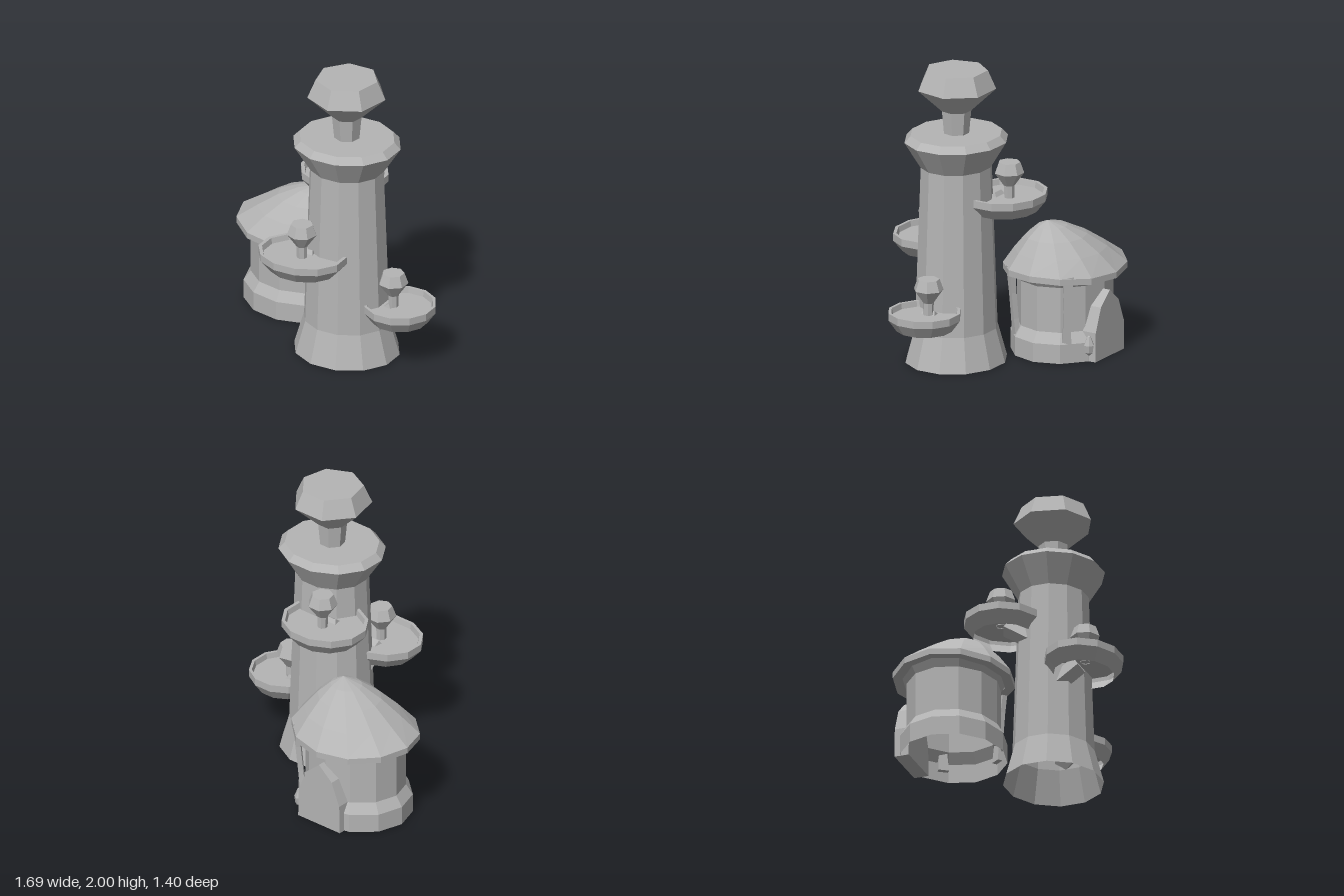
import * as THREE from 'three';

const stone = new THREE.MeshStandardMaterial({ color: 0xb4b4b4, flatShading: true, side: THREE.DoubleSide });
stone.name = 'grey stone';

const mesh = (name, geo) => {
  const m = new THREE.Mesh(geo, stone);
  m.name = name;
  return m;
};

// Faceted turned part: profile of [radius, y], squashed in x and z
function turned(name, profile, sides, phase = 0, sx = 1, sz = 1) {
  const geo = new THREE.LatheGeometry(profile.map(([r, y]) => new THREE.Vector2(r, y)), sides);
  geo.rotateY(phase);
  geo.scale(sx, 1, sz);
  return mesh(name, geo);
}

const HALF12 = Math.PI / 12;
const FLAT = 1 / Math.cos(HALF12); // makes profile radii measure to the flat sides

// Seven-sided gem on a stem
function crystal(r, height, y0) {
  const p = [[0.34, 0], [0.36, 0.35], [1, 0.71], [0.74, 1], [0, 1]];
  return turned('crystal', p.map(([a, b]) => [a * r, y0 + b * height]), 7);
}

// Dish with a crystal and a slanted bracket; local +z points away from the tower
function balcony(x, y, z, turn, halfWidth, halfDepth, crystalZ) {
  const g = new THREE.Group();
  g.name = 'balcony';
  const rim = [[0.77, 0], [1, 0.078], [1, 0.128], [0.92, 0.128], [0.89, 0.09], [0, 0.09]];
  g.add(turned('dish', rim.map(([r, h]) => [r * FLAT, h]), 12, HALF12, halfWidth, halfDepth));

  const gem = crystal(0.1, 0.25, 0.085);
  gem.rotation.y = Math.PI; // flat side outwards
  if (turn === 0) gem.rotation.y = 0;
  gem.position.z = crystalZ;
  g.add(gem);

  const from = new THREE.Vector3(0, 0.07, -0.03), to = new THREE.Vector3(0, -0.05, -0.21);
  const bracket = mesh('bracket', new THREE.CylinderGeometry(0.07, 0.07, from.distanceTo(to), 5));
  bracket.position.copy(from).lerp(to, 0.5);
  bracket.quaternion.setFromUnitVectors(new THREE.Vector3(0, 1, 0), from.clone().sub(to).normalize());
  g.add(bracket);

  g.position.set(x, y, z);
  g.rotation.y = turn;
  return g;
}

// Domed roof: rings shrinking from the eave towards an off-centre apex
function roofGeometry() {
  const n = 12, rx = 0.447, rz = 0.398, apexX = 0.145, apexZ = 0.045;
  // [amount towards the apex, y]
  const rings = [[0.16, 0.55], [0, 0.55], [0, 0.592], [0.25, 0.7], [0.5, 0.795], [0.75, 0.865], [1, 0.905]];
  const pos = [], index = [];
  rings.forEach(([t, y], k) => {
    for (let i = 0; i < n; i++) {
      const a = (i / n) * Math.PI * 2;
      const sag = k < 3 ? 0.012 * Math.cos(2 * a) : 0;
      const shift = k === 0 ? 0 : t;
      pos.push(Math.sin(a) * rx * (1 - t) + apexX * shift, y - sag, Math.cos(a) * rz * (1 - t) + apexZ * shift);
    }
  });
  for (let k = 0; k < rings.length - 1; k++) {
    for (let i = 0; i < n; i++) {
      const a = k * n + i, b = k * n + (i + 1) % n;
      index.push(a, b, b + n, a, b + n, a + n);
    }
  }
  const geo = new THREE.BufferGeometry();
  geo.setAttribute('position', new THREE.Float32BufferAttribute(pos, 3));
  geo.setIndex(index);
  geo.computeVertexNormals();
  return geo;
}

function createTower() {
  const g = new THREE.Group();
  g.name = 'tower';
  const profile = [[0.35, 0], [0.285, 0.23], [0.245, 1.34], [0.357, 1.52], [0.315, 1.565], [0, 1.565]];
  g.add(turned('towerBody', profile.map(([r, y]) => [r * FLAT, y]), 12, HALF12, 1, 0.915));

  // Large gem on the roof
  const gem = turned('topCrystal', [[0.085, 1.56], [0.1, 1.72], [0.265, 1.875], [0.21, 2], [0, 2]], 7);
  g.add(gem);
  g.position.set(0.205, 0, 0.167);
  return g;
}

function createHut() {
  const g = new THREE.Group();
  g.name = 'hut';
  g.add(turned('wall', [[0.4, 0], [0.4, 0.13], [0.352, 0.2], [0.352, 0.51], [0.39, 0.565]], 12, 0, 1, 0.87));
  g.add(mesh('roof', roofGeometry()));

  // Pointed door slab at the back
  const s = new THREE.Shape();
  s.moveTo(-0.18, 0);
  s.lineTo(0.18, 0);
  s.lineTo(0.175, 0.2);
  s.lineTo(0.11, 0.36);
  s.lineTo(0, 0.455);
  s.lineTo(-0.11, 0.36);
  s.lineTo(-0.175, 0.2);
  const door = mesh('door', new THREE.ExtrudeGeometry(s, { depth: 0.1, bevelEnabled: false }));
  door.position.set(0.015, 0, -0.355);
  g.add(door);

  // Small faceted lump beside the door
  const knob = turned('doorLantern', [[0, 0.045], [0.028, 0.07], [0.036, 0.12], [0.012, 0.18], [0, 0.185]], 6);
  knob.position.set(0.215, 0, -0.318);
  g.add(knob);

  // Leaning planks from the eave down the wall
  for (const side of [-1, 1]) {
    const geo = new THREE.BoxGeometry(0.06, 0.54, 0.035, 1, 3, 1);
    const p = geo.attributes.position;
    for (let i = 0; i < p.count; i++) {
      const t = p.getY(i) / 0.54;
      p.setZ(i, p.getZ(i) + 0.05 * t);
      p.setX(i, p.getX(i) * (1 - 0.25 * Math.cos(t * 5)) + 0.01 * t);
    }
    const plank = mesh('plank', geo);
    plank.position.set(0.308, 0.335, side * 0.207);
    plank.rotation.y = side > 0 ? Math.PI * 0.3 : Math.PI * 0.7;
    g.add(plank);
  }
  g.position.set(-0.4, 0, -0.302);
  return g;
}

export function createModel() {
  const model = new THREE.Group();
  model.name = 'crystalTower';
  model.add(createTower(), createHut());
  model.add(balcony(0.03, 0.67, 0.45, 0, 0.297, 0.247, 0.01));
  model.add(balcony(0.605, 0.31, 0.165, Math.PI / 2, 0.235, 0.235, -0.05));
  model.add(balcony(0.03, 1.03, -0.11, Math.PI, 0.293, 0.258, 0.025));
  return model;
}
